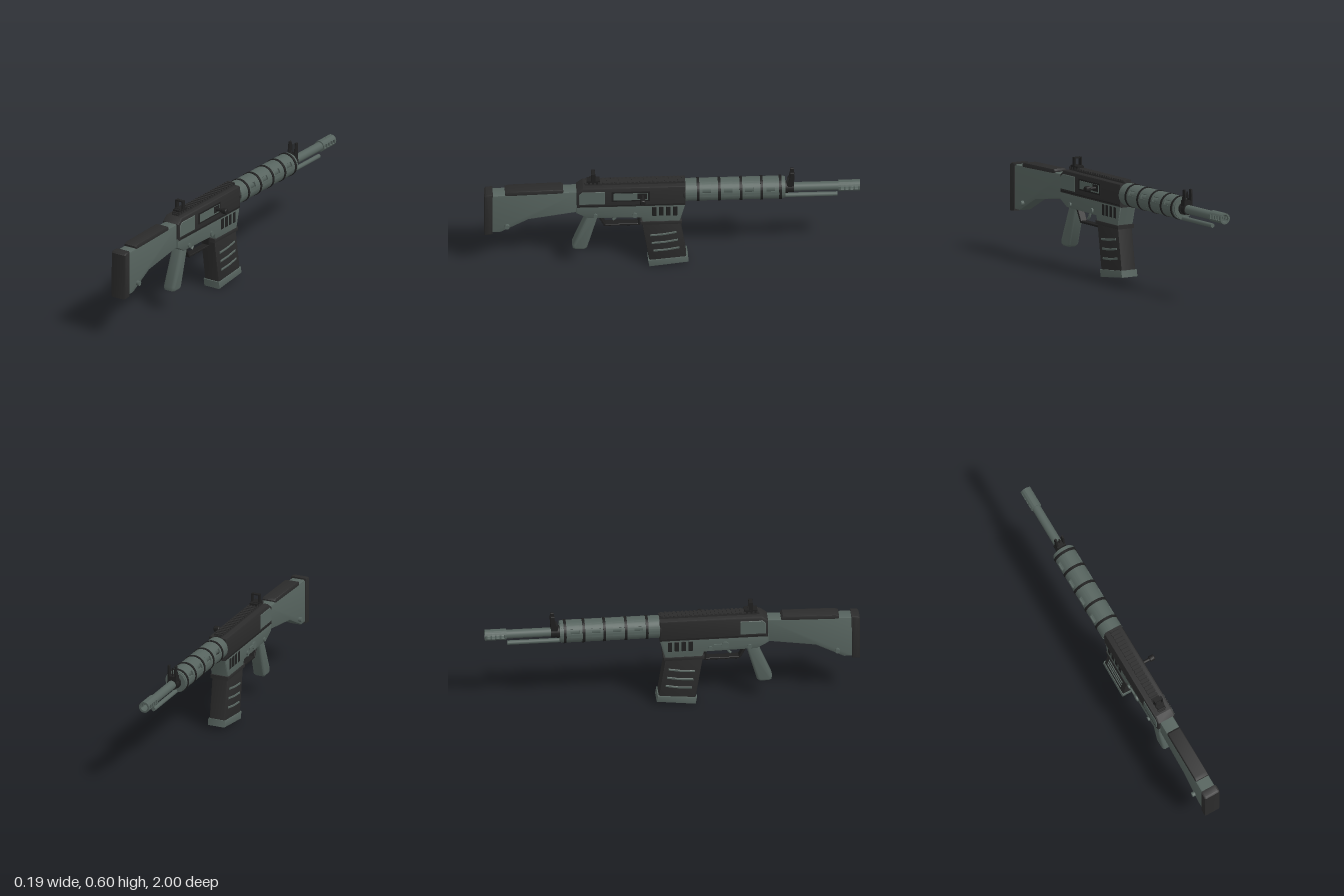
import * as THREE from 'three';
import { toCreasedNormals } from 'three/addons/utils/BufferGeometryUtils.js';
import { RoundedBoxGeometry } from 'three/addons/geometries/RoundedBoxGeometry.js';

const CX = -0.03; // centre plane of the body
const BORE = 0.47; // height of the barrel axis

export function createModel() {
  const root = new THREE.Group();
  root.name = 'rifle';
  const mat = (name, color) => {
    const m = new THREE.MeshStandardMaterial({ color });
    m.name = name;
    return m;
  };
  const green = mat('grey green', 0x56635e);
  const dark = mat('charcoal', 0x2b2b2b);
  const black = mat('black', 0x1f1f1f);

  const add = (name, geo, material, x = CX, y = 0, z = 0) => {
    const m = new THREE.Mesh(geo, material);
    m.name = name;
    m.position.set(x, y, z);
    root.add(m);
    return m;
  };
  const box = (name, material, w, h, d, x, y, z) => add(name, new THREE.BoxGeometry(w, h, d), material, x, y, z);

  // Side profile given as [z, y] points, extruded across x with a bevelled edge
  const slab = (name, material, pts, w, bevel = 0.008, x = CX, segs = 2) => {
    const shape = new THREE.Shape(pts.map(([z, y]) => new THREE.Vector2(z, y)));
    const g = new THREE.ExtrudeGeometry(shape, {
      depth: w - 2 * bevel, bevelEnabled: bevel > 0, bevelThickness: bevel,
      bevelSize: bevel, bevelOffset: -bevel, bevelSegments: segs, steps: 1,
    });
    g.translate(0, 0, -(w - 2 * bevel) / 2);
    g.rotateY(-Math.PI / 2);
    return add(name, toCreasedNormals(g, 0.7), material, x);
  };
  // Cylinders along x and z
  const pinX = (name, material, r, x0, x1, y, z, n = 14) =>
    add(name, new THREE.CylinderGeometry(r, r, x1 - x0, n).rotateZ(Math.PI / 2), material, (x0 + x1) / 2, y, z);
  const rodZ = (name, material, r, z0, z1, y, n = 24, rFront = r) =>
    add(name, new THREE.CylinderGeometry(r, rFront, Math.abs(z1 - z0), n).rotateX(Math.PI / 2), material, CX, y, (z0 + z1) / 2);

  // Piece of hollow tube between two angles, running along z
  const shell = (name, material, ro, ri, z0, z1, a0 = 0, a1 = Math.PI * 2) => {
    const s = new THREE.Shape();
    s.absarc(0, 0, ro, a0, a1, false);
    if (a1 - a0 > 6.28) {
      const h = new THREE.Path();
      h.absarc(0, 0, ri, 0, Math.PI * 2, true);
      s.holes.push(h);
    } else s.absarc(0, 0, ri, a1, a0, true);
    const g = new THREE.ExtrudeGeometry(s, { depth: Math.abs(z1 - z0), bevelEnabled: false, curveSegments: 32 });
    return add(name, toCreasedNormals(g, 0.6), material, CX, BORE, Math.min(z0, z1));
  };
  // Tube with a row of side windows cut through both walls
  const ventedTube = (name, ro, ri, z0, z1, vents, half, lo, hi) => {
    let z = z0;
    for (const v of vents) {
      shell(name, green, ro, ri, z, v + half);
      shell(name + 'Top', green, ro, ri, v + half, v - half, hi, Math.PI - hi);
      shell(name + 'Bottom', green, ro, ri, v + half, v - half, Math.PI - lo, Math.PI * 2 + lo);
      z = v - half;
    }
    shell(name, green, ro, ri, z, z1);
  };

  // Stock
  slab('stock', green, [[0.965, 0.245], [0.965, 0.487], [0.505, 0.5], [0.505, 0.365], [0.765, 0.325], [0.915, 0.245]], 0.08, 0.01);
  slab('cheekRest', dark, [[0.89, 0.48], [0.89, 0.5], [0.87, 0.508], [0.59, 0.514], [0.58, 0.505], [0.58, 0.48]], 0.076, 0.005);
  slab('buttPad', dark, [[0.958, 0.237], [1, 0.232], [1, 0.485], [0.99, 0.494], [0.955, 0.496]], 0.094, 0.01);
  pinX('stockScrew', green, 0.013, -0.087, 0.027, 0.29, 0.88);

  // Receiver
  slab('upperReceiver', dark, [[0.51, 0.4], [0.51, 0.5], [0.475, 0.527], [-0.07, 0.527], [-0.07, 0.4]], 0.105, 0.01);
  slab('lowerReceiver', green, [[0.512, 0.415], [0.512, 0.365], [0.45, 0.33], [0.165, 0.325], [0.16, 0.295],
    [-0.04, 0.295], [-0.068, 0.4], [-0.06, 0.415]], 0.1, 0.008);
  for (const s of [-1, 1]) {
    slab('rearPanel', green, [[0.497, 0.425], [0.497, 0.49], [0.48, 0.506], [0.36, 0.506], [0.36, 0.425]], 0.007, 0.002, CX + s * 0.052, 1);
    box('receiverSeam', black, 0.006, 0.006, 0.56, CX + s * 0.051, 0.414, 0.215);
    for (let i = 0; i < 4; i++)
      add('magwellSlot', new RoundedBoxGeometry(0.006, 0.06, 0.024, 2, 0.0028), black, CX + s * 0.049, 0.367, 0.096 - i * 0.037);
    for (const z of [0.2, 0.41]) pinX('receiverPin', green, 0.012, CX + s * 0.054 - 0.005, CX + s * 0.054 + 0.005, 0.35, z);
  }
  pinX('selector', green, 0.02, -0.089, -0.07, 0.365, 0.28);
  box('selectorLever', green, 0.008, 0.014, 0.06, -0.084, 0.365, 0.25);
  pinX('releaseButton', green, 0.013, 0.01, 0.029, 0.345, 0.2);

  // Ejection port and charging handle on the right-hand side of the body
  box('portFrame', black, 0.006, 0.062, 0.205, 0.022, 0.472, 0.222);
  box('portCover', green, 0.008, 0.045, 0.185, 0.0225, 0.472, 0.222);
  box('handleSlot', black, 0.009, 0.036, 0.05, 0.0235, 0.475, 0.16);
  pinX('handleStem', black, 0.009, 0.015, 0.066, 0.475, 0.16);
  const knob = new THREE.LatheGeometry([[0, 0], [0.012, 0], [0.016, 0.004], [0.016, 0.027], [0.012, 0.031], [0, 0.031]]
    .map(([r, y]) => new THREE.Vector2(r, y)), 16).rotateZ(-Math.PI / 2);
  add('handleKnob', toCreasedNormals(knob, 0.5), black, 0.063, 0.475, 0.16);

  // Top rail
  box('railBase', dark, 0.04, 0.014, 0.53, CX, 0.53, 0.2);
  for (let i = 0; i < 24; i++) box('railTooth', dark, 0.048, 0.01, 0.012, CX, 0.54, 0.455 - i * 0.0222);

  // Rear sight
  box('rearSightBase', black, 0.042, 0.02, 0.07, CX, 0.545, 0.42);
  box('rearSightFoot', black, 0.05, 0.01, 0.035, CX, 0.552, 0.42);
  for (const s of [-1, 1]) box('rearSightPost', black, 0.008, 0.05, 0.022, CX + s * 0.02, 0.576, 0.42);
  box('rearSightBridge', black, 0.048, 0.007, 0.018, CX, 0.5975, 0.42);

  // Handguard with windows and bands
  rodZ('handguardCollar', dark, 0.055, -0.06, -0.085, BORE);
  ventedTube('handguard', 0.061, 0.052, -0.07, -0.595, [-0.182, -0.297, -0.41, -0.523], 0.023, 0.2, 0.66);
  for (const z of [-0.137, -0.25, -0.365, -0.475, -0.575]) shell('handguardBand', black, 0.0645, 0.055, z + 0.007, z - 0.007);
  shell('handguardCap', green, 0.057, 0.02, -0.59, -0.602);

  // Barrel, lower rod and muzzle
  rodZ('barrel', green, 0.024, -0.05, -0.89, BORE);
  rodZ('lowerRod', green, 0.012, -0.58, -0.88, 0.416, 14);
  ventedTube('muzzle', 0.03, 0.02, -0.885, -1, [-0.906, -0.931, -0.956, -0.98], 0.008, -0.4, 0.4);

  // Front sight
  rodZ('frontSightBase', black, 0.034, -0.6, -0.615, BORE);
  rodZ('frontSightClamp', black, 0.03, -0.615, -0.648, BORE);
  box('frontSightBlock', black, 0.05, 0.03, 0.036, CX, 0.502, -0.63);
  for (const s of [-1, 1])
    slab('frontSightEar', black, [[-0.615, 0.5], [-0.627, 0.545], [-0.63, 0.577], [-0.648, 0.577], [-0.652, 0.545], [-0.646, 0.5]],
      0.01, 0.001, CX + s * 0.02, 1);
  box('frontSightPost', black, 0.005, 0.06, 0.006, CX, 0.535, -0.638);

  // Grip, trigger and guard
  slab('grip', green, [[0.45, 0.345], [0.533, 0.14], [0.53, 0.118], [0.515, 0.111], [0.468, 0.11], [0.452, 0.122], [0.39, 0.345]], 0.066, 0.014, CX, 3);
  slab('triggerGuard', black, [[0.405, 0.335], [0.362, 0.255], [0.17, 0.255], [0.17, 0.33], [0.182, 0.33], [0.182, 0.267],
    [0.355, 0.267], [0.392, 0.335]], 0.04, 0.002, CX, 1);
  const curve = new THREE.CatmullRomCurve3([[0.3, 0.34], [0.296, 0.315], [0.302, 0.295], [0.314, 0.283]]
    .map(([z, y]) => new THREE.Vector3(0, y, z)));
  add('trigger', new THREE.TubeGeometry(curve, 10, 0.007, 8), green);

  // Magazine
  slab('magazineCollar', dark, [[0.17, 0.28], [0.17, 0.302], [-0.05, 0.302], [-0.05, 0.28]], 0.106, 0.005);
  slab('magazine', dark, [[0.163, 0.295], [-0.038, 0.295], [-0.076, 0.05], [0.122, 0.03]], 0.092, 0.008);
  slab('magazineFoot', green, [[0.13, 0.042], [0.123, 0], [-0.086, 0.025], [-0.08, 0.062]], 0.102, 0.006);
  for (const s of [-1, 1])
    for (let i = 0; i < 3; i++) {
      const z = 0.048 - i * 0.008;
      const y = 0.214 - i * 0.051;
      slab('magazineRib', green, [[z + 0.07, y - 0.014], [z + 0.07, y - 0.002], [z, y + 0.003], [z - 0.07, y + 0.016],
        [z - 0.07, y + 0.004], [z, y - 0.009]], 0.01, 0.002, CX + s * 0.045, 1);
    }
  return root;
}
